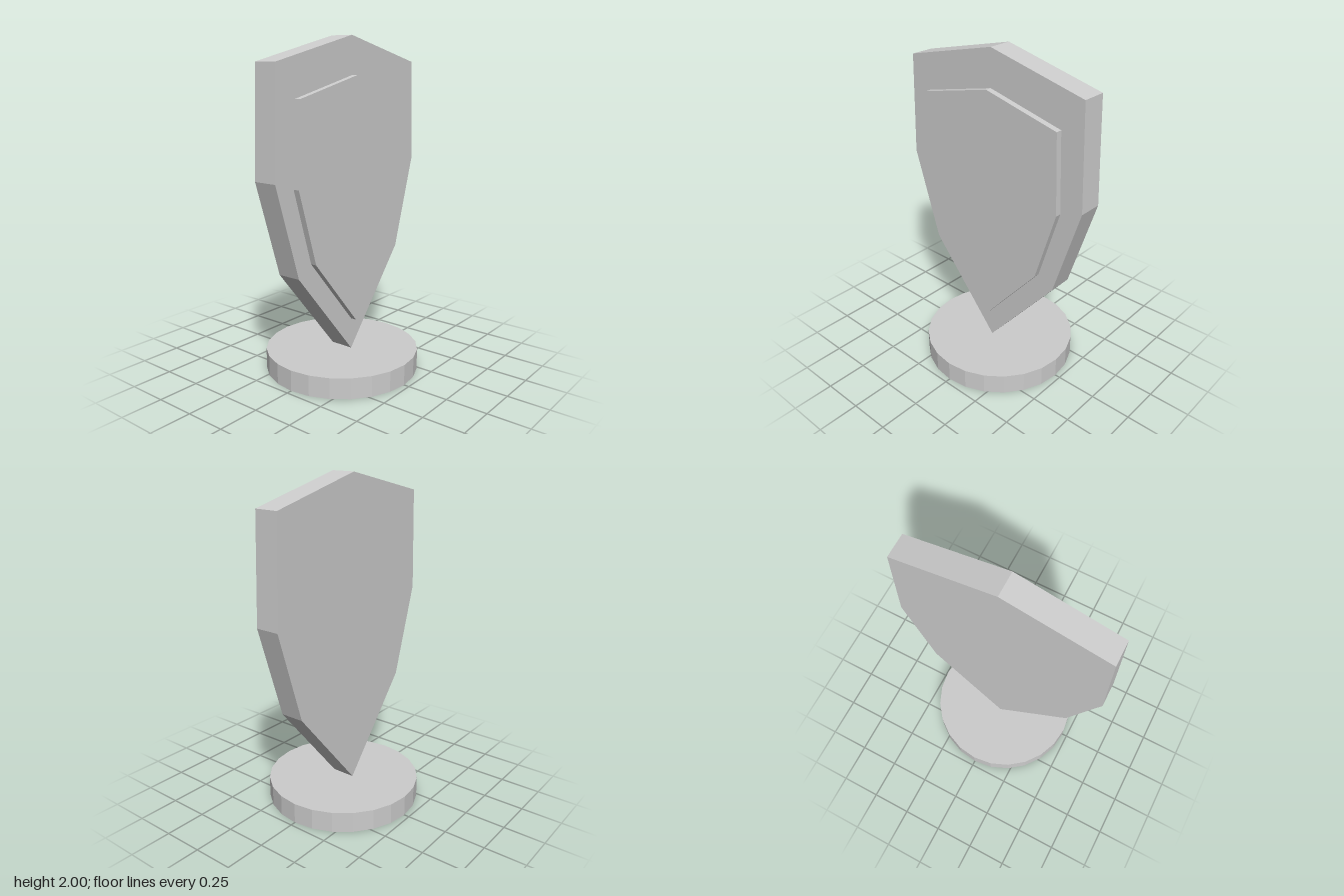
import * as THREE from 'three';

// Extruded plate from the right half of its outline, mirrored across x = 0
function plate(name, half, z0, z1, material) {
  const left = half.slice(1, -1).map(([x, y]) => [-x, y]).reverse();
  const points = [...half, ...left].map(([x, y]) => new THREE.Vector2(x, y));
  const geometry = new THREE.ExtrudeGeometry(new THREE.Shape(points), {
    depth: z1 - z0,
    bevelEnabled: false,
  });
  const mesh = new THREE.Mesh(geometry, material);
  mesh.name = name;
  mesh.position.z = z0;
  return mesh;
}

export function createModel() {
  const group = new THREE.Group();
  group.name = 'shieldTrophy';

  const grey = new THREE.MeshStandardMaterial({ color: 0xcccccc });
  grey.name = 'light grey';

  // Faceted round foot
  const baseHeight = 0.126;
  const baseGeometry = new THREE.CylinderGeometry(0.467, 0.467, baseHeight, 24).toNonIndexed();
  baseGeometry.computeVertexNormals();
  const base = new THREE.Mesh(baseGeometry, grey);
  base.name = 'base';
  base.position.y = baseHeight / 2;
  group.add(base);

  // Shield body, standing on its point
  const body = [[0, 0.126], [0.467, 0.683], [0.638, 1.235], [0.615, 1.853], [0, 2]];
  group.add(plate('shieldBody', body, -0.073, 0.073, grey));

  // Raised panel on the front
  const panel = [[0, 0.318], [0.365, 0.748], [0.499, 1.19], [0.48, 1.664], [0, 1.778]];
  group.add(plate('frontPanel', panel, 0.073, 0.11, grey));

  return group;
}
